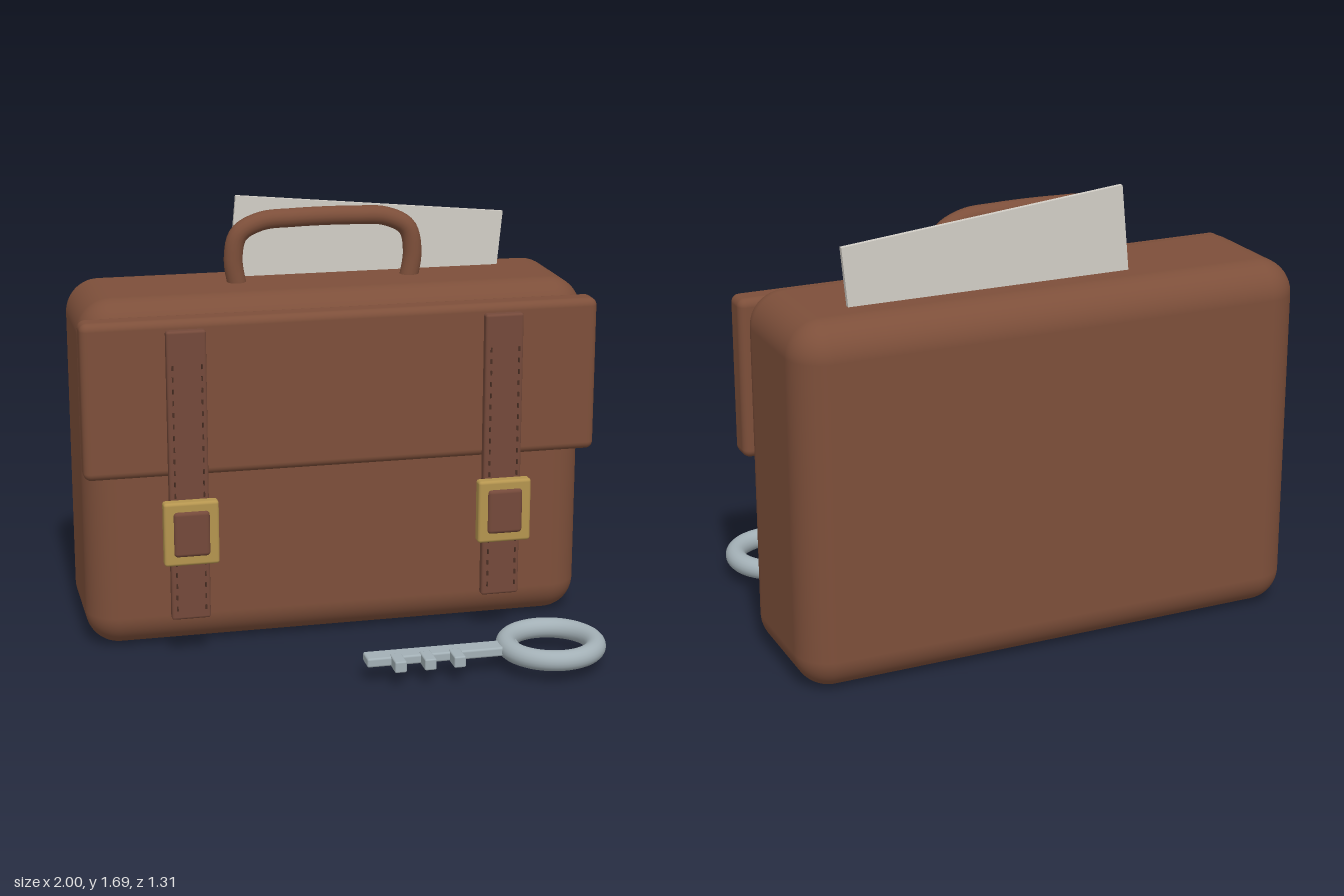
import * as THREE from 'three';
import { RoundedBoxGeometry } from 'three/addons/geometries/RoundedBoxGeometry.js';

const mat = (color) => new THREE.MeshStandardMaterial({ color });

export function createModel() {
  const model = new THREE.Group();
  model.name = 'briefcaseWithKey';
  const leather = mat(0x7d4f3a);
  const strapLeather = mat(0x74493a);
  const thread = mat(0x4a2f24);
  const brass = mat(0xb5954f);
  const steel = mat(0xa3b0b6);
  const paperMat = mat(0xd2cec6);

  const add = (parent, name, geometry, material, x = 0, y = 0, z = 0) => {
    const mesh = new THREE.Mesh(geometry, material);
    mesh.name = name;
    mesh.position.set(x, y, z);
    parent.add(mesh);
    return mesh;
  };
  const rounded = (w, h, d, r, segments = 4) => new RoundedBoxGeometry(w, h, d, segments, r);

  // Case body and front flap
  add(model, 'body', rounded(1.98, 1.37, 0.6, 0.13, 8), leather, 0, 0.685, -0.355);
  add(model, 'flap', rounded(2, 0.605, 0.112, 0.03), leather, 0, 1.0175, -0.026);

  // Carrying handle
  const handlePath = new THREE.CatmullRomCurve3([
    [-0.34, 1.34], [-0.357, 1.46], [-0.335, 1.555], [-0.25, 1.602], [-0.12, 1.612],
    [0.12, 1.612], [0.25, 1.602], [0.335, 1.555], [0.357, 1.46], [0.34, 1.34],
  ].map(([x, y]) => new THREE.Vector3(x, y, -0.355)));
  add(model, 'handle', new THREE.TubeGeometry(handlePath, 64, 0.037, 16), leather);

  // Paper sheet tilted in the case, placed by the middle of its top edge
  const tilt = -0.097, sheetHeight = 0.8;
  const paper = add(model, 'paper', new THREE.BoxGeometry(1.085, sheetHeight, 0.018), paperMat,
    0.212 + Math.sin(tilt) * sheetHeight / 2, 1.637 - Math.cos(tilt) * sheetHeight / 2, -0.452);
  paper.rotation.z = tilt;

  // Straps with stitching and buckles
  for (const [side, x] of [['right', -0.613], ['left', 0.611]]) {
    const strap = new THREE.Group();
    strap.name = side + 'Strap';
    strap.position.x = x;
    model.add(strap);
    add(strap, 'strapBand', rounded(0.15, 1.13, 0.04, 0.01, 2), strapLeather, 0, 0.725, 0.06);

    const stitchGeometry = new THREE.BoxGeometry(0.006, 0.018, 0.006);
    for (const sx of [-0.055, 0.055]) {
      for (let i = 0; i < 22; i++) {
        add(strap, 'stitch', stitchGeometry, thread, sx, 0.21 + i * 0.045, 0.09);
      }
    }

    add(strap, 'buckle', rounded(0.21, 0.25, 0.05, 0.012, 3), brass, 0, 0.517, 0.1);
    add(strap, 'bucklePad', rounded(0.138, 0.178, 0.06, 0.015, 3), strapLeather, 0, 0.518, 0.106);
  }

  // Key lying in front of the case
  const key = new THREE.Group();
  key.name = 'key';
  key.position.set(0.705, 0.083, 0.443);
  model.add(key);
  add(key, 'keyRing', new THREE.TorusGeometry(0.17, 0.039, 20, 64), steel).rotation.x = Math.PI / 2;
  add(key, 'keyShaft', rounded(0.6, 0.036, 0.08, 0.008, 2), steel, -0.425, 0, 0);
  for (const x of [-0.612, -0.498, -0.385]) {
    add(key, 'keyTooth', rounded(0.045, 0.044, 0.09, 0.006, 2), steel, x, 0, 0.058);
  }

  return model;
}
